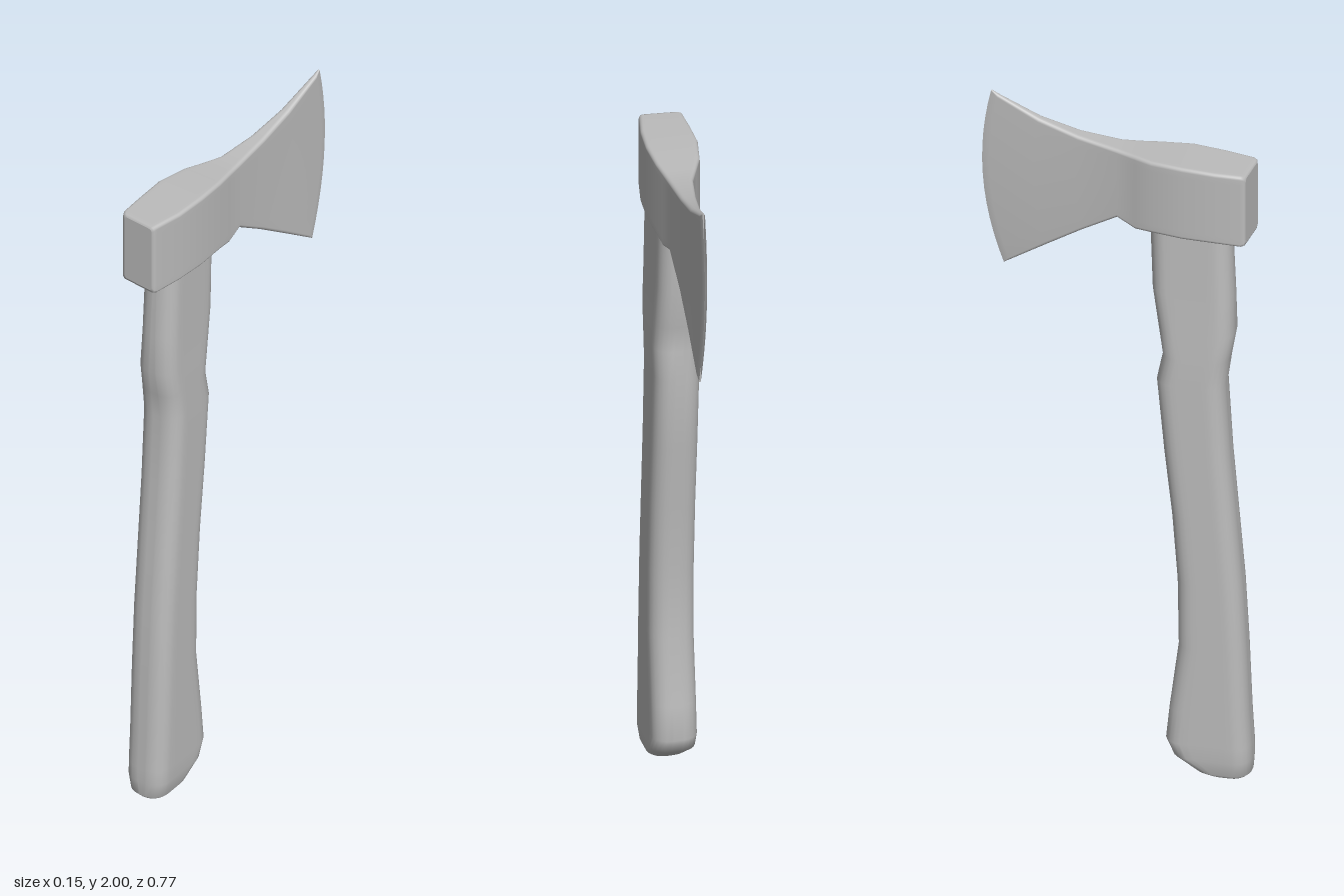
import * as THREE from 'three';

const { clamp, lerp, smoothstep } = THREE.MathUtils;

// Rounded rectangle ring, counter-clockwise, as [u, v] points
function ring(u0, u1, v0, v1, radius, sideSteps) {
  const cornerSteps = 5;
  const r = Math.min(radius, (u1 - u0) * 0.48, (v1 - v0) * 0.48);
  const centres = [[u1 - r, v1 - r], [u0 + r, v1 - r], [u0 + r, v0 + r], [u1 - r, v0 + r]];
  const pts = [];
  centres.forEach(([cu, cv], k) => {
    for (let i = 0; i <= cornerSteps; i++) {
      const a = (k + i / cornerSteps) * Math.PI / 2;
      pts.push([cu + r * Math.cos(a), cv + r * Math.sin(a)]);
    }
    // Intermediate points along the straight side to the next corner
    const a = (k + 1) * Math.PI / 2;
    const [nu, nv] = centres[(k + 1) % 4];
    for (let i = 1; i < sideSteps; i++) {
      const t = i / sideSteps;
      pts.push([lerp(cu, nu, t) + r * Math.cos(a), lerp(cv, nv, t) + r * Math.sin(a)]);
    }
  });
  return pts;
}

// Skin through closed rings of Vector3, with a flat cap at each end
function loft(rings) {
  const n = rings[0].length, pos = [], idx = [];
  rings.forEach(r => r.forEach(p => pos.push(p.x, p.y, p.z)));
  for (let i = 0; i < rings.length - 1; i++) {
    for (let j = 0; j < n; j++) {
      const a = i * n + j, b = i * n + (j + 1) % n;
      idx.push(a, b, b + n, a, b + n, a + n);
    }
  }
  const cap = (r, flip) => {
    const base = pos.length / 3;
    const c = r.reduce((s, p) => s.add(p), new THREE.Vector3()).divideScalar(n);
    [...r, c].forEach(p => pos.push(p.x, p.y, p.z));
    for (let j = 0; j < n; j++) {
      const a = base + j, b = base + (j + 1) % n;
      if (flip) idx.push(b, a, base + n);
      else idx.push(a, b, base + n);
    }
  };
  cap(rings[0], true);
  cap(rings[rings.length - 1], false);
  const g = new THREE.BufferGeometry();
  g.setAttribute('position', new THREE.Float32BufferAttribute(pos, 3));
  g.setIndex(idx);
  g.computeVertexNormals();
  return g;
}

// Handle section at one height: slimmer near the head, rounded in at the foot
function handleRing([y, back, front]) {
  const slim = smoothstep(y, 1.2, 1.65);
  const inset = 0.018 * Math.max(0, 1 - y / 0.03) ** 2;
  const right = lerp(-0.065, -0.051, slim) + inset;
  const left = lerp(0.059, 0.053, slim) - inset;
  return ring(back, front, right, left, 0.045, 6)
    .map(([z, x]) => new THREE.Vector3(x, y, z));
}

// Head section at one depth: bowed toward the cutting edge, skewed at the poll
function headRing([z, bottom, top, right, left]) {
  const bow = clamp((-0.03 - z) / 0.292, 0, 1);
  const skew = 0.11 * smoothstep(z, 0.3, 0.375);
  return ring(right, left, bottom, top, 0.01, 12).map(([x, y]) => {
    const t = (y - bottom) / (top - bottom);
    return new THREE.Vector3(x, y, z + bow * (0.1625 * t * t - 0.1975 * t) + skew * x);
  });
}

export function createModel() {
  const group = new THREE.Group();
  group.name = 'axe';
  const grey = new THREE.MeshStandardMaterial({ color: 0xbcbcbc });
  grey.name = 'grey';

  // Handle profile: y, back z, front z
  const handleRows = [
    [0, 0.25, 0.368],
    [0.012, 0.225, 0.378],
    [0.055, 0.165, 0.38],
    [0.1, 0.145, 0.379],
    [0.2, 0.155, 0.373],
    [0.4, 0.18, 0.365],
    [0.6, 0.177, 0.354],
    [0.8, 0.162, 0.337],
    [1, 0.14, 0.32],
    [1.22, 0.12, 0.307],
    [1.3, 0.136, 0.318],
    [1.38, 0.124, 0.332],
    [1.5, 0.106, 0.329],
    [1.72, 0.098, 0.32],
  ];
  const handle = new THREE.Mesh(loft(handleRows.map(handleRing)), grey);
  handle.name = 'handle';

  // Head profile from cutting edge to poll: z, bottom y, top y, right x, left x
  const headRows = [
    [-0.322, 1.465, 2, 0.062, 0.067],
    [-0.305, 1.477, 1.99, 0.055, 0.07],
    [-0.2, 1.55, 1.942, 0.036, 0.064],
    [-0.1, 1.62, 1.914, 0.017, 0.06],
    [0.005, 1.689, 1.901, -0.006, 0.06],
    [0.06, 1.674, 1.902, -0.03, 0.064],
    [0.11, 1.683, 1.904, -0.053, 0.069],
    [0.2, 1.686, 1.908, -0.072, 0.072],
    [0.29, 1.686, 1.905, -0.0745, 0.063],
    [0.368, 1.684, 1.905, -0.073, 0.045],
    [0.377, 1.687, 1.902, -0.069, 0.041],
    [0.38, 1.694, 1.895, -0.062, 0.034],
  ];
  const head = new THREE.Mesh(loft(headRows.map(headRing)), grey);
  head.name = 'axeHead';

  group.add(handle, head);
  return group;
}
